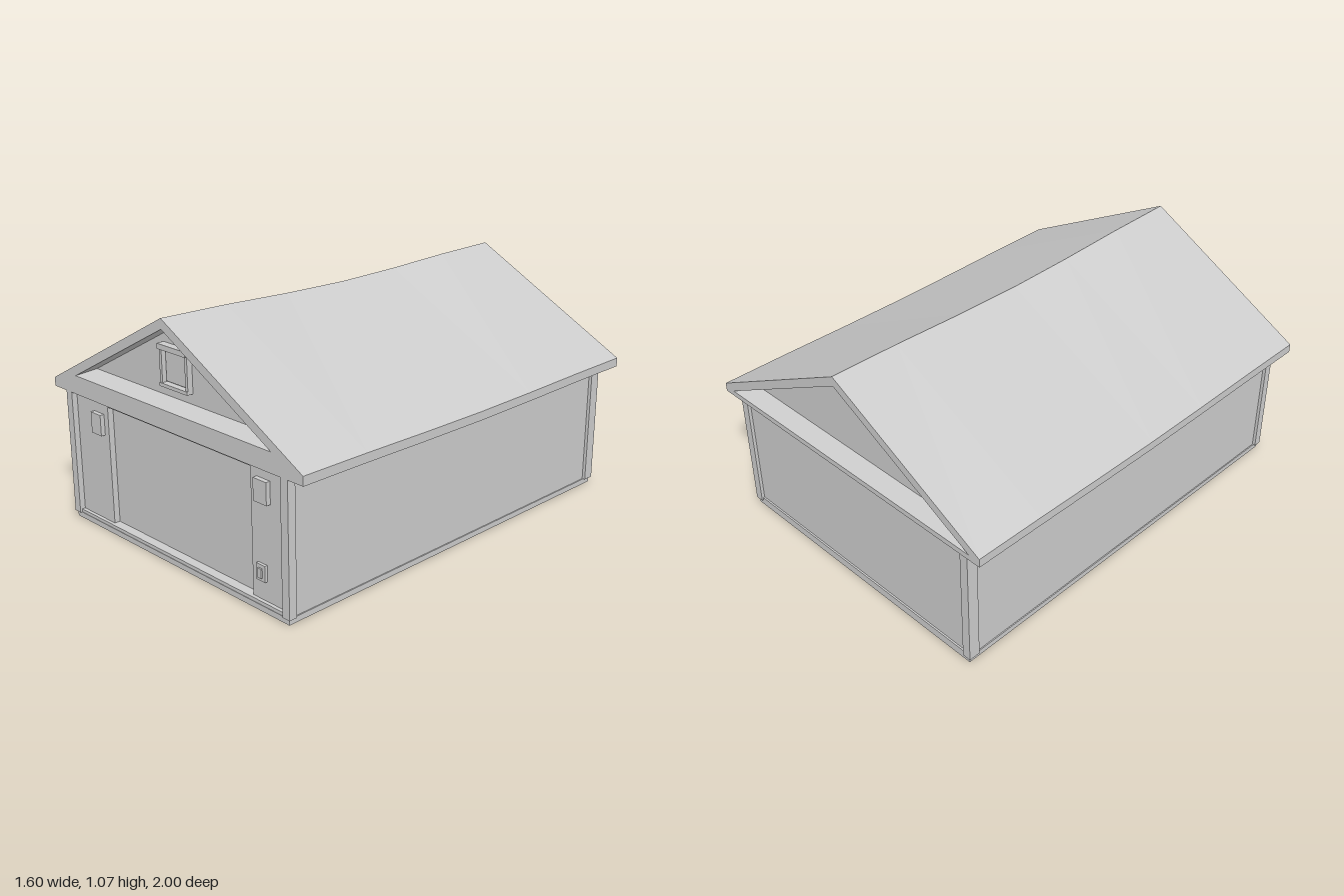
import * as THREE from 'three';

const material = new THREE.MeshStandardMaterial({ color: 0xcccccc, flatShading: true, side: THREE.DoubleSide });

function add(parent, name, geometry) {
  const mesh = new THREE.Mesh(geometry, material);
  mesh.name = name;
  parent.add(mesh);
  return mesh;
}

// Box given by its limits on each axis
function block(parent, name, x0, x1, y0, y1, z0, z1) {
  const mesh = add(parent, name, new THREE.BoxGeometry(x1 - x0, y1 - y0, z1 - z0));
  mesh.position.set((x0 + x1) / 2, (y0 + y1) / 2, (z0 + z1) / 2);
  return mesh;
}

// Skin between successive loops of [x, y, z], counter-clockwise from +z, running front to back
function loft(loops) {
  const p = [];
  for (let i = 0; i + 1 < loops.length; i++) {
    const f = loops[i], b = loops[i + 1];
    f.forEach((a, j) => {
      const k = (j + 1) % f.length;
      p.push(...a, ...b[j], ...b[k], ...a, ...b[k], ...f[k]);
    });
  }
  const g = new THREE.BufferGeometry();
  g.setAttribute('position', new THREE.Float32BufferAttribute(p, 3));
  g.computeVertexNormals();
  return g;
}

const toShape = pts => new THREE.Shape(pts.map(([x, y]) => new THREE.Vector2(x, y)));
const rect = (x0, x1, y0, y1) => [[x0, y0], [x1, y0], [x1, y1], [x0, y1]];

const section = [[0.8, 0.6], [0.8, 0.64], [0, 1.065], [-0.8, 0.64], [-0.8, 0.6]];
const slope = 0.425 / 0.8;

// Triangle under the rafters with its base at height y
function triangle(y) {
  const w = (1.02 - y) / slope;
  return [[w, y], [0, 1.02], [-w, y]];
}

// Gable end facing +z: rake frame, sloping ledge and recessed panel
function gableEnd(name, y, depth) {
  const group = new THREE.Group();
  group.name = name;
  const outer = triangle(y), inner = triangle(y + 0.025);
  const frame = toShape(section);
  frame.holes.push(toShape(outer));
  add(group, 'rakeFrame', new THREE.ShapeGeometry(frame)).position.z = 1;
  const at = (pts, z) => pts.map(([px, py]) => [px, py, z]).reverse();
  add(group, 'gableRecess', loft([at(outer, 1), at(inner, 1 - depth)]));
  add(group, 'gablePanel', new THREE.ShapeGeometry(toShape(inner))).position.z = 1 - depth;
  return group;
}

export function createModel() {
  const model = new THREE.Group();
  model.name = 'garage';

  // Base and wall core
  block(model, 'base', -0.705, 0.705, 0, 0.025, -0.975, 0.99);
  block(model, 'walls', -0.7, 0.7, 0.025, 0.6, -0.968, 0.945);

  // Front wall with the door opening, its door being the core behind
  const front = toShape(rect(-0.7, 0.7, 0.025, 0.6));
  front.holes.push(toShape(rect(-0.445, 0.48, 0.04, 0.58)));
  const frontWall = add(model, 'frontWall',
    new THREE.ExtrudeGeometry(front, { depth: 0.027, bevelEnabled: false }));
  frontWall.position.z = 0.945;
  block(model, 'frontSill', -0.69, 0.69, 0, 0.04, 0.96, 0.988);
  block(model, 'backSill', -0.69, 0.69, 0.025, 0.04, -0.976, -0.96);

  // Corner trims
  for (const s of [-1, 1]) {
    const [a, b] = s < 0 ? [-0.715, -0.675] : [0.675, 0.715];
    block(model, 'frontCornerTrim', a, b, 0.025, 0.6, 0.96, 0.998);
    block(model, 'backCornerTrim', a, b, 0.025, 0.6, -0.983, -0.93);
  }

  // Roof with a sagging ridge
  const loops = [1, 0.67, 0.33, 0, -0.33, -0.67, -1].map(z => {
    const sag = (1 + Math.cos(Math.PI * z)) / 2;
    return section.map(([x, y]) => [x, y - sag * (0.01 + 0.015 * (y - 0.6) / 0.465), z]);
  });
  add(model, 'roof', loft(loops));
  model.add(gableEnd('frontGable', 0.685, 0.08));
  const back = gableEnd('backGable', 0.625, 0.08);
  back.rotation.y = Math.PI;
  model.add(back);

  // Gable window
  const win = new THREE.Group();
  win.name = 'gableWindow';
  block(win, 'windowHead', -0.095, 0.083, 0.912, 0.935, 0.915, 0.955);
  block(win, 'windowSill', -0.095, 0.083, 0.755, 0.77, 0.915, 0.95);
  block(win, 'windowJamb', -0.095, -0.08, 0.77, 0.912, 0.915, 0.945);
  block(win, 'windowJamb', 0.068, 0.083, 0.77, 0.912, 0.915, 0.945);
  block(win, 'windowPane', -0.075, 0.063, 0.775, 0.912, 0.915, 0.928);
  model.add(win);

  // Wall lamps and switch box beside the door
  block(model, 'leftLamp', 0.515, 0.59, 0.455, 0.55, 0.965, 0.992);
  block(model, 'rightLamp', -0.545, -0.475, 0.445, 0.54, 0.965, 0.992);
  block(model, 'switchBox', 0.515, 0.565, 0.125, 0.195, 0.965, 0.985);
  block(model, 'switchButton', 0.53, 0.55, 0.14, 0.18, 0.98, 0.992);

  return model;
}
